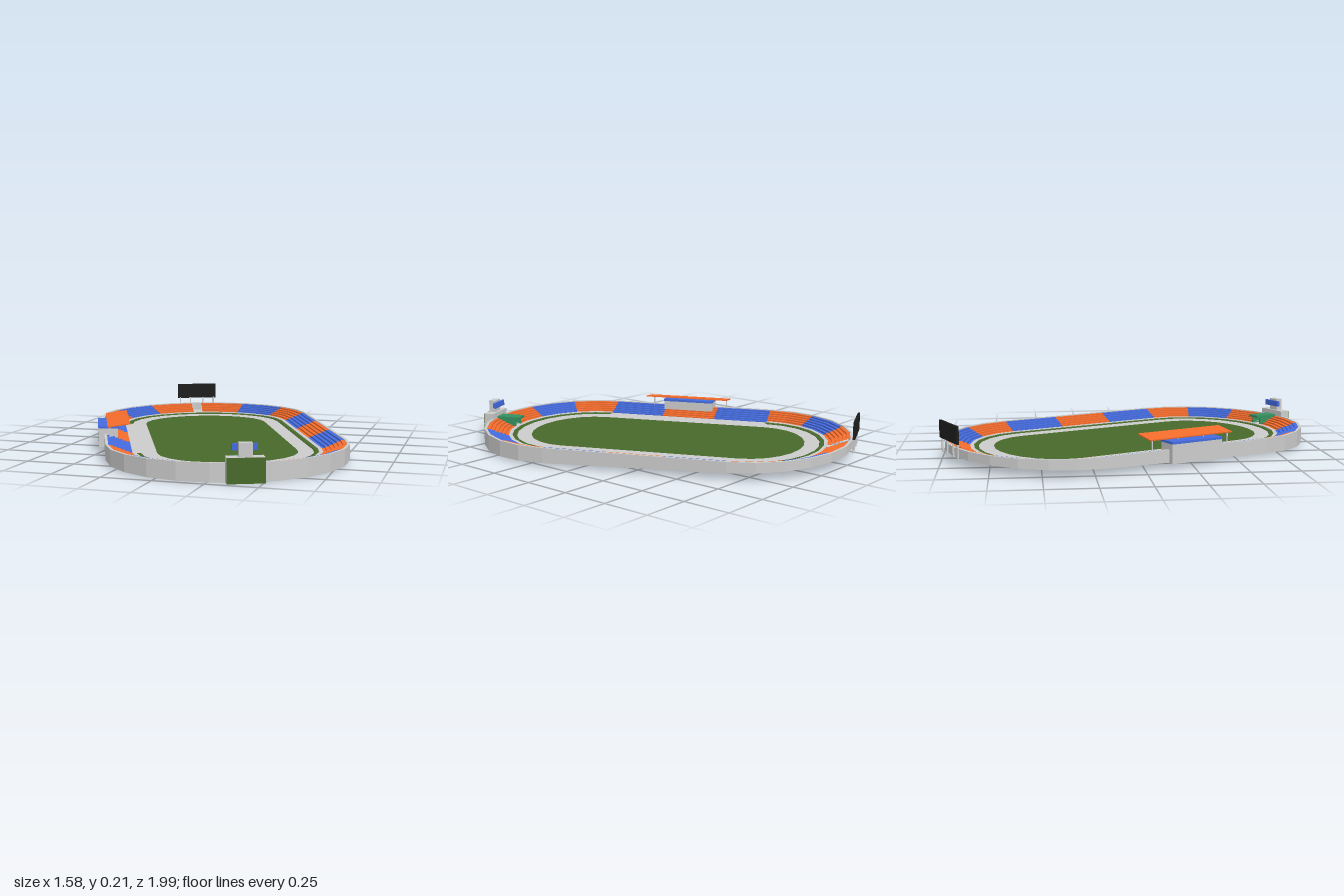
import * as THREE from 'three';

const GREY = 0xcccccc, ORANGE = 0xf56c2c, BLUE = 0x456ce0, GRASS = 0x48692a, GATE = 0x359160, BLACK = 0x1e1e1e;
const HALF = 0.475;   // half length of the straights
const FLOOR = 0.04;   // level of the pitch

const material = (color) => new THREE.MeshStandardMaterial({ color, flatShading: true, side: THREE.DoubleSide });

// Point of the oval at offset d. Stations: 0-12 front cap, 12-15 right straight,
// 15-27 back cap, 27-30 left straight.
function oval(d, station) {
  const s = ((station % 30) + 30) % 30;
  const b = d - 0.07;
  if (s <= 12) {
    const t = (s / 12) * Math.PI;
    return [d * Math.cos(t), HALF + b * Math.sin(t)];
  }
  if (s <= 15) return [-d, HALF * (1 - (s - 12) * 2 / 3)];
  if (s <= 27) {
    const t = ((s - 15) / 12) * Math.PI;
    return [-d * Math.cos(t), -HALF - b * Math.sin(t)];
  }
  return [d, HALF * ((s - 27) * 2 / 3 - 1)];
}

// The ground falls gently from back to front
const groundAt = (z) => 0.022 - 0.023 * z;

export function createModel() {
  const model = new THREE.Group();
  model.name = 'stadium';
  const ground = new THREE.Group();
  ground.name = 'stadiumGrounds';
  ground.rotation.y = 0.4224;
  ground.position.z = -0.008;
  model.add(ground);

  const add = (name, geometry, color) => {
    const mesh = new THREE.Mesh(geometry, material(color));
    mesh.name = name;
    ground.add(mesh);
    return mesh;
  };

  const box = (name, x0, x1, y0, y1, z0, z1, color) => {
    const mesh = add(name, new THREE.BoxGeometry(x1 - x0, y1 - y0, z1 - z0), color);
    mesh.position.set((x0 + x1) / 2, (y0 + y1) / 2, (z0 + z1) / 2);
    return mesh;
  };

  // Sweeps a profile of [offset, height] along the oval; a null height means ground level
  const sweep = (name, profile, from, to, color) => {
    const stations = [from];
    for (let s = Math.floor(from) + 1; s < to; s++) stations.push(s);
    stations.push(to);
    const positions = [], index = [], n = profile.length;
    stations.forEach((s, i) => {
      profile.forEach(([d, y], j) => {
        const [x, z] = oval(d, s);
        positions.push(x, y === null ? groundAt(z) : y, z);
        if (i && j) {
          const a = (i - 1) * n + j - 1, b = i * n + j - 1;
          index.push(a, a + 1, b, b, a + 1, b + 1);
        }
      });
    });
    const geometry = new THREE.BufferGeometry();
    geometry.setAttribute('position', new THREE.Float32BufferAttribute(positions, 3));
    geometry.setIndex(index);
    geometry.computeVertexNormals();
    return add(name, geometry, color);
  };

  // Pitch, running track and the wide straight on the right side
  const outline = [];
  for (let s = 0; s < 30; s++) outline.push(new THREE.Vector2(...oval(0.355, s)));
  const pitch = add('pitch', new THREE.ShapeGeometry(new THREE.Shape(outline)).rotateX(Math.PI / 2), GRASS);
  pitch.position.y = FLOOR;
  sweep('runningTrack', [[0.355, FLOOR], [0.435, FLOOR]], 0, 30, GREY);
  box('startingStraight', -0.478, -0.43, FLOOR - 0.003, FLOOR, -HALF, HALF, GREY);
  box('pitchBase', -0.478, 0.435, FLOOR - 0.006, FLOOR - 0.003, -HALF, HALF, GREY);

  // Grass border (open beside the starting straight) and walkway
  sweep('grassBorder', [[0.435, FLOOR], [0.437, FLOOR + 0.004], [0.46, FLOOR + 0.004]], 15, 42, GRASS);
  sweep('walkway', [[0.46, FLOOR + 0.004], [0.46, FLOOR + 0.007], [0.48, FLOOR + 0.007]], 15, 42, GREY);

  // Stepped seating
  const rows = 6, inner = 0.478, outer = 0.597, low = 0.046, high = 0.086;
  const steps = [[inner, FLOOR]];
  for (let i = 0; i < rows; i++) {
    const y = low + (high - low) * i / (rows - 1);
    steps.push([inner + (outer - inner) * i / rows, y], [inner + (outer - inner) * (i + 1) / rows, y]);
  }
  const cap = [[0, 2], [2, 4], [4, 5.8], [6.2, 8], [8, 10], [10, 12]];
  const capColors = [ORANGE, BLUE, ORANGE, ORANGE, BLUE, ORANGE];
  for (const start of [0, 15]) {
    cap.forEach(([a, b], i) => sweep('curveSeating', steps, start + a, start + b, capColors[i]));
    for (let i = 0; i < 3; i++) {
      sweep('straightSeating', steps, start + 12 + i, start + 13 + i, i === 1 ? ORANGE : BLUE);
    }
    // Entrance aisle through the middle of the curve
    sweep('aisleFloor', [[0.46, FLOOR + 0.006], [outer, FLOOR + 0.006]], start + 5.8, start + 6.2, GREY);
    for (const s of [5.8, 6.2]) {
      sweep('aisleSide', [[inner, low], [outer, high], [outer, FLOOR], [inner, FLOOR]],
        start + s - 0.015, start + s + 0.015, GREY);
    }
  }

  // Outer wall
  sweep('outerWall', [[0.597, null], [0.597, 0.09], [0.611, 0.09], [0.611, null], [0.597, null]], 0, 30, GREY);

  // Front gate: covered tunnel, block and tower
  box('tunnelCover', -0.036, 0.036, 0.084, 0.097, 0.86, 1.0, GATE);
  for (const side of [-1, 1]) {
    box('tunnelSide', side * 0.033 - 0.003, side * 0.033 + 0.003, FLOOR, 0.085, 0.88, 1.0, GATE);
  }
  box('gateBlock', -0.088, 0.088, 0, 0.12, 0.995, 1.05, GREY);
  box('gatePanel', -0.088, 0.088, 0.001, 0.119, 1.05, 1.053, GRASS);
  box('gateTower', -0.031, 0.031, 0.12, 0.185, 1.008, 1.045, GREY);
  box('towerBoard', -0.057, 0.057, 0.145, 0.175, 0.993, 1.008, BLUE);

  // Scoreboard on posts behind the back curve
  box('scoreboard', -0.115, 0.13, 0.12, 0.21, -1.036, -1.024, BLACK);
  for (const x of [-0.1, -0.035, 0.045, 0.115]) {
    box('scoreboardPost', x - 0.004, x + 0.004, 0.045, 0.125, -1.03, -1.022, GREY);
  }

  // Grandstand pavilion on the right side
  box('pavilion', -0.64, -0.54, 0.022, 0.12, -0.13, 0.165, GREY);
  box('pavilionTop', -0.642, -0.535, 0.12, 0.132, -0.132, 0.167, BLUE);
  const roof = box('grandstandRoof', -0.596, -0.478, 0.146, 0.152, -0.23, 0.258, ORANGE);
  roof.rotation.z = 0.13;
  for (const z of [-0.21, -0.06, 0.09, 0.238]) {
    box('roofPost', -0.585, -0.579, 0.07, 0.143, z - 0.003, z + 0.003, GREY);
  }
  return model;
}
